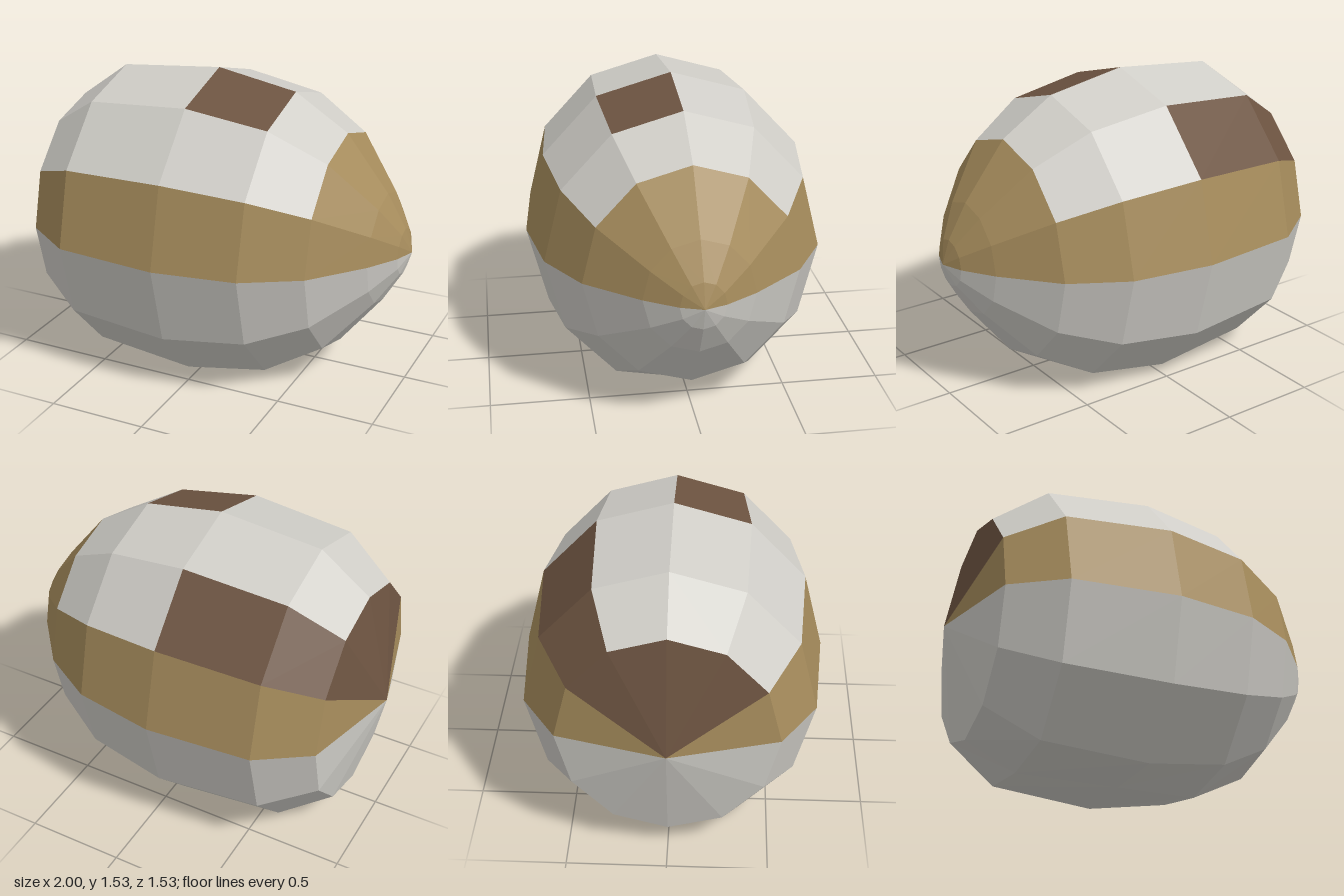
import * as THREE from 'three';

const SIDES = 12;
const CENTRE_Y = 0.71;
const DEPTH = 0.933; // depth of each ring relative to its height

// Rings along x, from blunt end to pointed end: [x, vertical radius]
const RINGS = [
  [-1, 0], [-0.86, 0.58], [-0.6, 0.77], [-0.06, 0.82], [0.36, 0.745],
  [0.64, 0.57], [0.86, 0.29], [0.96, 0.12], [1, 0],
];

// Point on a ring; the angle runs from +z upwards, and the underside is flattened on the ground
function ringPoint(ring, side) {
  const [x, r] = RINGS[ring];
  const a = (side / SIDES) * Math.PI * 2;
  return [x, Math.max(0, CENTRE_Y + r * Math.sin(a)), r * DEPTH * Math.cos(a)];
}

// Decide which part a facet belongs to
function partOf(ring, side) {
  if (side >= 6) return 'shell';
  if (ring >= 5) return 'pointedCap';
  if (side === 0 || side === 5) return 'sideBands';
  if (ring === 0) return 'bluntCap';
  if (side === 2 && ring === 3) return 'frontPatch';
  if (side === 4 && ring <= 2) return 'rearPatch';
  return 'shell';
}

export function createModel() {
  const ivory = new THREE.MeshStandardMaterial({ color: 0xd0cec8 });
  ivory.name = 'ivory';
  const tan = new THREE.MeshStandardMaterial({ color: 0xa68c5c });
  tan.name = 'tan';
  const brown = new THREE.MeshStandardMaterial({ color: 0x6d5441 });
  brown.name = 'brown';
  const materials = {
    shell: ivory, pointedCap: tan, sideBands: tan,
    bluntCap: brown, frontPatch: brown, rearPatch: brown,
  };

  // Collect the facets of every part
  const facets = {};
  for (const name in materials) facets[name] = [];
  for (let i = 0; i < RINGS.length - 1; i++) {
    for (let s = 0; s < SIDES; s++) {
      const a = ringPoint(i, s), b = ringPoint(i + 1, s);
      const c = ringPoint(i + 1, s + 1), d = ringPoint(i, s + 1);
      const out = facets[partOf(i, s)];
      if (RINGS[i + 1][1] > 0) out.push(...a, ...b, ...c);
      else out.push(...a, ...b, ...d);
      if (RINGS[i][1] > 0 && RINGS[i + 1][1] > 0) out.push(...a, ...c, ...d);
    }
  }

  // Unshared vertices give each facet its own flat normal
  const group = new THREE.Group();
  group.name = 'facetedEgg';
  for (const name in facets) {
    const geometry = new THREE.BufferGeometry();
    geometry.setAttribute('position', new THREE.Float32BufferAttribute(facets[name], 3));
    geometry.computeVertexNormals();
    const mesh = new THREE.Mesh(geometry, materials[name]);
    mesh.name = name;
    group.add(mesh);
  }
  return group;
}
